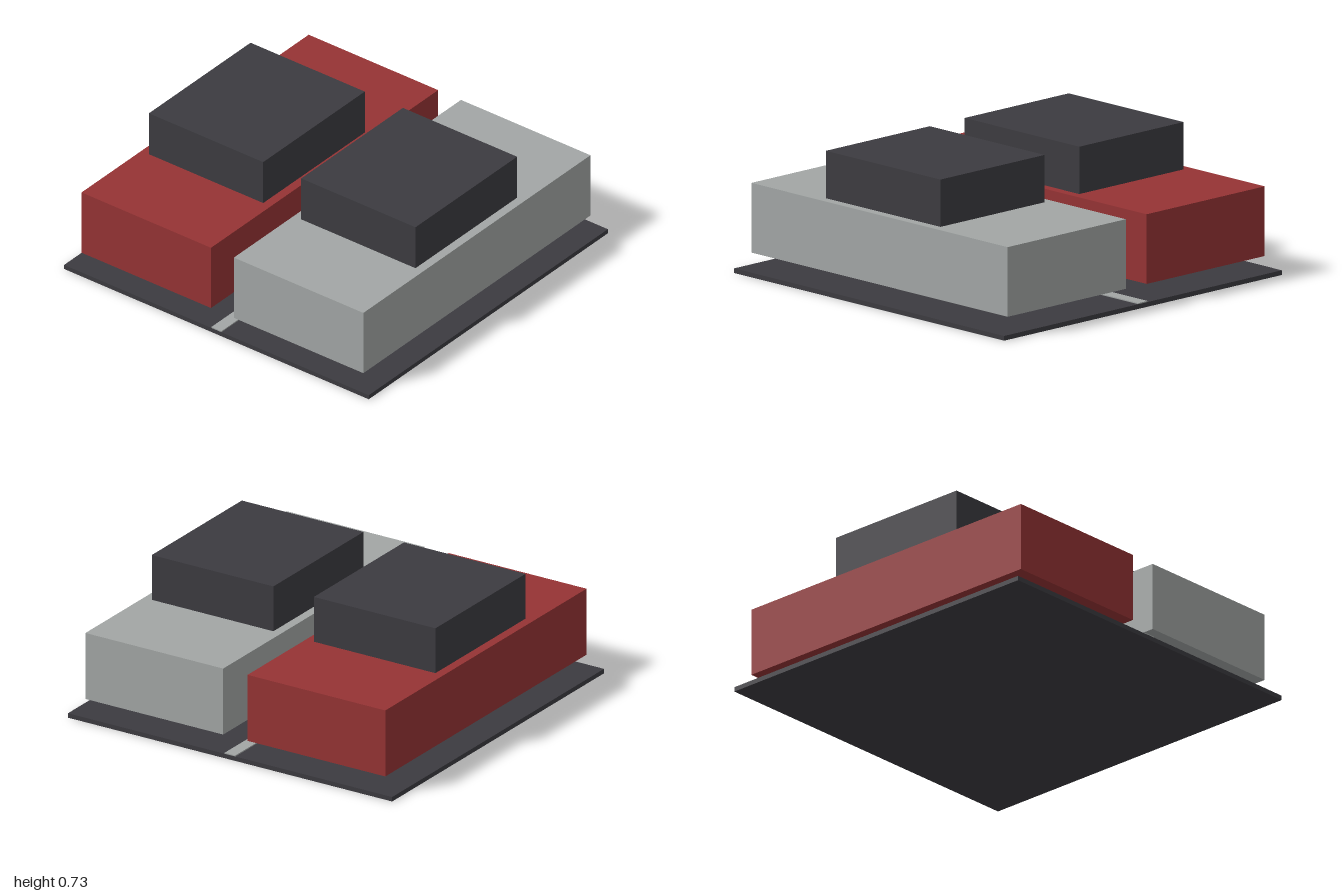
import * as THREE from 'three';

const material = (name, color) => {
  const m = new THREE.MeshStandardMaterial({ color });
  m.name = name;
  return m;
};

// Box given by its minimum and maximum corners
function box(name, mat, [x0, y0, z0], [x1, y1, z1]) {
  const mesh = new THREE.Mesh(new THREE.BoxGeometry(x1 - x0, y1 - y0, z1 - z0), mat);
  mesh.position.set((x0 + x1) / 2, (y0 + y1) / 2, (z0 + z1) / 2);
  mesh.name = name;
  return mesh;
}

export function createModel() {
  const dark = material('charcoal', 0x3c3b40);
  const red = material('red', 0x953334);
  const grey = material('light grey', 0xa2a6a5);

  const model = new THREE.Group();
  model.name = 'parkedCars';

  // Ground slab with a painted dividing line
  model.add(box('pavement', dark, [-1, 0, -1], [1, 0.025, 1]));
  model.add(box('dividingLine', grey, [-0.033, 0.025, -1], [0.033, 0.031, 1]));

  // Two block cars, one in each bay, floating just above the slab
  for (const [name, x, paint] of [['redCar', -0.5, red], ['greyCar', 0.5, grey]]) {
    const car = new THREE.Group();
    car.name = name;
    car.position.x = x;
    car.add(box('body', paint, [-0.425, 0.105, -0.95], [0.425, 0.476, 0.95]));
    car.add(box('cabin', dark, [-0.375, 0.476, -0.4], [0.375, 0.728, 0.45]));
    model.add(car);
  }
  return model;
}
